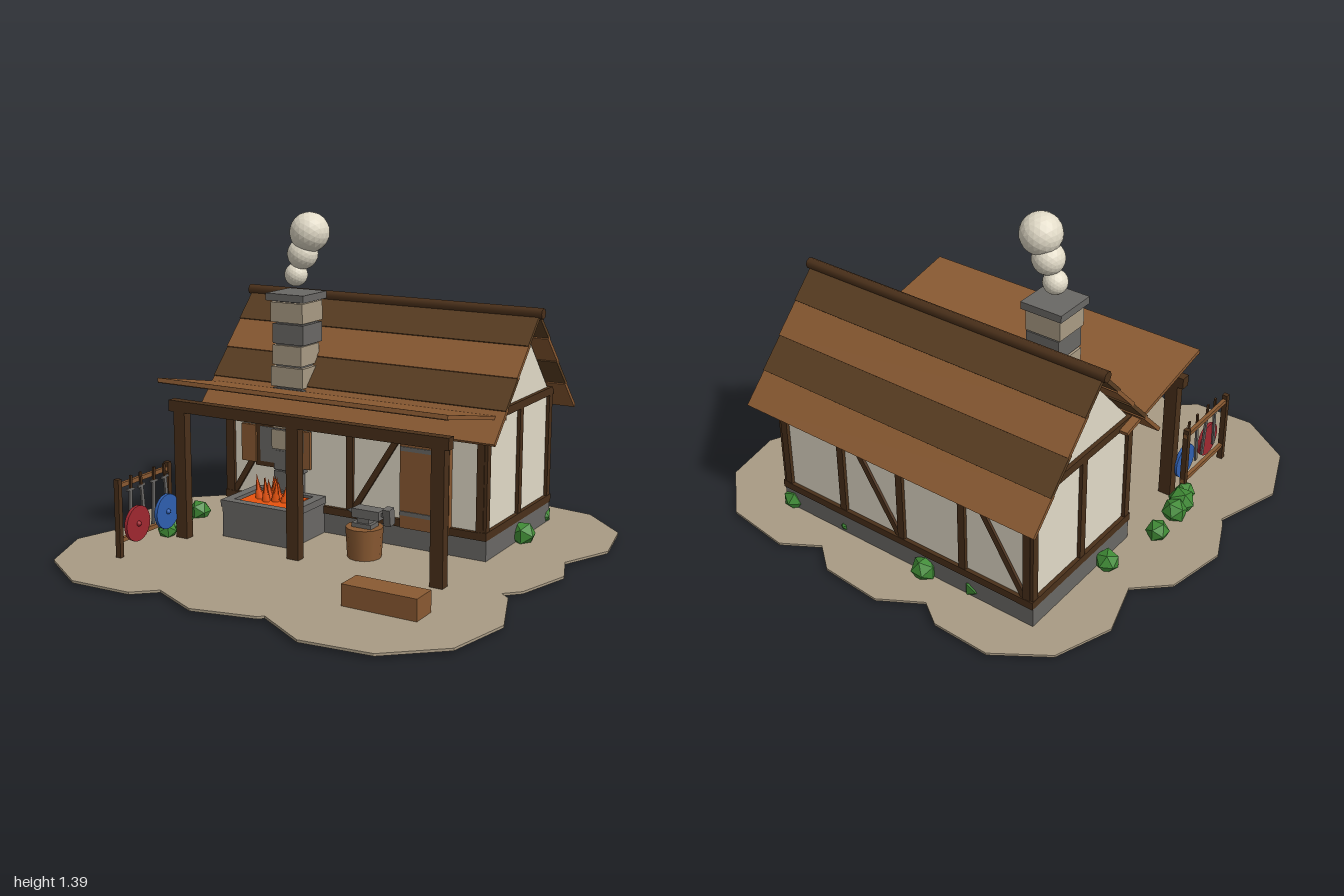
import * as THREE from 'three';

const mat = (name, color) => Object.assign(new THREE.MeshStandardMaterial({ color }), { name });
const M = {
  beam: mat('dark timber', 0x4a301a),
  plank: mat('dark plank', 0x5a3e22),
  wood: mat('light wood', 0x8a5a32),
  plaster: mat('plaster', 0xe2dbc8),
  iron: mat('dark stone', 0x6a6865),
  earth: mat('pale stone', 0xa99b84),
  fire: mat('fire', 0xf2570f),
  leaf: mat('leaf', 0x3f8a35),
  red: mat('red paint', 0xa02830),
  blue: mat('blue paint', 0x2f5fb0),
};

const CX = -0.012, G = 0.044;               // house centre in x, ground level
const HX = 0.62, ZF = -0.11, ZB = -0.745;   // half length, front and back walls
const ZM = -0.43;                           // ridge line

function createModel() {
  const root = new THREE.Group();
  root.name = 'smithy';

  const add = (name, geo, m, x = 0, y = 0, z = 0) => {
    const mesh = new THREE.Mesh(geo, m);
    mesh.name = name;
    mesh.position.set(x, y, z);
    root.add(mesh);
    return mesh;
  };
  // box from its min and max corners
  const box = (name, m, x0, x1, y0, y1, z0, z1) =>
    add(name, new THREE.BoxGeometry(x1 - x0, y1 - y0, z1 - z0), m, (x0 + x1) / 2, (y0 + y1) / 2, (z0 + z1) / 2);
  const flat = (geo) => {
    const g = geo.index ? geo.toNonIndexed() : geo;
    g.computeVertexNormals();
    return g;
  };

  // ground with scalloped outline (x, z)
  const outline = [
    -0.59, -0.97, -0.34, -0.96, -0.24, -0.89, -0.07, -0.99, 0.2, -0.97, 0.31, -0.88, 0.46, -0.97,
    0.75, -0.93, 0.95, -0.74, 1, -0.48, 0.9, -0.26, 0.96, -0.1, 0.89, 0.14, 0.83, 0.2, 0.87, 0.23,
    0.97, 0.49, 0.91, 0.77, 0.7, 0.95, 0.41, 0.98, 0.19, 0.85, 0.17, 0.87, -0.09, 0.93, -0.3, 0.83,
    -0.39, 0.91, -0.66, 0.92, -0.89, 0.77, -0.99, 0.51, -0.9, 0.23, -0.92, 0.2, -1, 0.02,
    -0.95, -0.24, -0.82, -0.36, -0.89, -0.59, -0.8, -0.83];
  const pts = [];
  for (let i = 0; i < outline.length; i += 2) pts.push(new THREE.Vector2(outline[i], -outline[i + 1]));
  const ground = new THREE.ExtrudeGeometry(new THREE.Shape(pts), { depth: 0.01, bevelEnabled: false });
  add('ground', ground.rotateX(-Math.PI / 2), M.earth, 0, G - 0.01, 0);

  // foundation and plaster body with gables
  box('foundation', M.iron, CX - 0.635, CX + 0.635, 0.036, 0.13, -0.755, -0.1);
  const gable = new THREE.Shape([[ZB, 0.13], [ZF, 0.13], [ZF, 0.63], [ZM, 0.985], [ZB, 0.63]]
    .map(([a, b]) => new THREE.Vector2(a, b)));
  const body = new THREE.ExtrudeGeometry(gable, { depth: HX * 2, bevelEnabled: false });
  add('walls', body.rotateY(-Math.PI / 2), M.plaster, CX + HX, 0, 0);

  // timber frame on the long walls, four bays with braces in alternate bays
  const bay = 0.303;
  for (const z of [ZF, ZB]) {
    const z0 = z - 0.015, z1 = z + 0.015;
    for (let i = 0; i < 5; i++) {
      const x = CX + (i - 2) * bay;
      box('wallPost', M.beam, x - 0.016, x + 0.016, 0.13, 0.63, z0, z1);
      if (i === 0 || i === 2) {
        const a = new THREE.Vector2(x + 0.015, 0.165), b = new THREE.Vector2(x + 0.288, 0.6);
        const brace = add('wallBrace', new THREE.BoxGeometry(a.distanceTo(b), 0.026, 0.022), M.beam,
          (a.x + b.x) / 2, (a.y + b.y) / 2, z);
        brace.rotation.z = Math.atan2(b.y - a.y, b.x - a.x);
      }
    }
    for (const y of [0.13, 0.615])
      box('wallRail', M.beam, CX - HX - 0.01, CX + HX + 0.01, y, y + 0.032, z0 - 0.002, z1 + 0.002);
  }
  // timber frame on the gable ends
  for (const s of [-1, 1]) {
    const x = CX + s * HX;
    for (const z of [ZF - 0.005, ZM, ZB + 0.005])
      box('gablePost', M.beam, x - 0.015, x + 0.015, 0.13, 0.63, z - 0.016, z + 0.016);
    for (const y of [0.13, 0.615])
      box('gableRail', M.beam, x - 0.017, x + 0.017, y, y + 0.034, ZB - 0.017, ZF + 0.017);
  }

  // roof: four overlapping boards per slope
  const run = 0.41, drop = 0.455, len = Math.hypot(run, drop), tilt = Math.atan2(drop, run);
  for (const s of [-1, 1]) {
    for (let i = 0; i < 4; i++) {
      const t = (i + 0.5) / 4;
      const board = add('roofBoard', new THREE.BoxGeometry(1.406, 0.016, len / 4 + 0.015), i % 2 ? M.wood : M.plank,
        CX, 1.012 - drop * t, ZM + s * run * t);
      board.rotation.x = s * (tilt - 0.035);
    }
  }
  add('roofRidge', new THREE.CylinderGeometry(0.023, 0.023, 1.435, 8).rotateZ(Math.PI / 2), M.beam, CX, 1.016, ZM);

  // porch
  const porchRoof = add('porchRoof', new THREE.BoxGeometry(1.338, 0.016, 0.54), M.wood, -0.015, 0.676, 0.063);
  porchRoof.rotation.x = -Math.atan2(0.11, 0.525);
  box('porchRoofEdge', M.beam, -0.684, 0.654, 0.718, 0.728, 0.318, 0.326);
  box('porchBeam', M.beam, -0.67, 0.635, 0.59, 0.638, 0.235, 0.277);
  for (const x of [-0.617, -0.06, 0.59]) box('porchPost', M.beam, x - 0.028, x + 0.028, 0.036, 0.6, 0.235, 0.277);

  // chimney of stacked stones, slightly uneven
  const SX = -0.31, SZ = -0.157;
  for (let i = 0; i < 9; i++) {
    const y0 = 0.2 + i * 0.0925, w = 0.072 + (i % 3) * 0.004, dx = ((i * 2) % 3 - 1) * 0.004;
    const light = [2, 3, 5, 6, 8].includes(i);
    box('chimneyStone', light ? M.earth : M.iron, SX + dx - w, SX + dx + w, y0 + 0.003, y0 + 0.088, SZ - w, SZ + w);
  }
  box('chimneyCore', M.iron, SX - 0.062, SX + 0.062, 0.2, 1.04, SZ - 0.062, SZ + 0.062);
  box('chimneyCap', M.iron, SX - 0.094, SX + 0.094, 1.035, 1.066, SZ - 0.094, SZ + 0.094);
  for (const [x, y, r] of [[-0.31, 1.14, 0.05], [-0.277, 1.23, 0.066], [-0.242, 1.323, 0.085]])
    add('smokePuff', flat(new THREE.IcosahedronGeometry(r, 3)), M.plaster, x, y, SZ);

  // forge with coals and flames
  box('forge', M.iron, -0.482, -0.137, 0.036, 0.19, -0.1, 0.165);
  for (const [x0, x1, z0, z1] of [[-0.488, -0.445, -0.1, 0.17], [-0.174, -0.131, -0.1, 0.17],
    [-0.445, -0.174, 0.13, 0.17], [-0.445, -0.174, -0.1, -0.07]])
    box('forgeRim', M.iron, x0, x1, 0.175, 0.205, z0, z1);
  box('coals', M.fire, -0.43, -0.19, 0.19, 0.199, -0.055, 0.115);
  for (let i = 0; i < 11; i++) {
    const a = i * 2.4, r = 0.025 * Math.sqrt(i), h = 0.11 - (i % 3) * 0.018;
    const flame = add('flame', new THREE.ConeGeometry(0.02, h, 5), M.fire,
      SX + r * Math.cos(a), 0.195 + h / 2, 0.025 + r * 0.75 * Math.sin(a));
    flame.rotation.z = -0.15 * Math.cos(a);
  }

  // window with open shutters
  box('windowFrame', M.beam, -0.48, -0.26, 0.3, 0.5, -0.1, -0.088);
  box('windowPane', M.iron, -0.455, -0.285, 0.322, 0.478, -0.089, -0.084);
  for (const x of [-0.55, -0.275]) box('shutter', M.wood, x, x + 0.075, 0.315, 0.48, -0.098, -0.08);

  // door
  box('door', M.wood, 0.235, 0.462, 0.13, 0.537, -0.11, -0.085);
  for (const y of [0.46, 0.185]) box('hinge', M.iron, 0.237, 0.46, y, y + 0.018, -0.086, -0.08);
  add('doorKnob', new THREE.SphereGeometry(0.012, 10, 8), M.beam, 0.425, 0.33, -0.078);

  // anvil on a stump
  add('stump', new THREE.CylinderGeometry(0.078, 0.07, 0.136, 12), M.wood, 0.168, 0.104, 0.088);
  box('anvilFoot', M.iron, 0.125, 0.215, 0.172, 0.19, 0.055, 0.12);
  box('anvilWaist', M.iron, 0.145, 0.2, 0.185, 0.215, 0.066, 0.11);
  box('anvilTop', M.iron, 0.125, 0.25, 0.212, 0.25, 0.056, 0.12);
  add('anvilHorn', new THREE.ConeGeometry(0.02, 0.05, 8).rotateZ(Math.PI / 2), M.iron, 0.108, 0.23, 0.088);
  const hammer = box('hammerHead', M.iron, 0.265, 0.297, 0.195, 0.265, 0.07, 0.11);
  hammer.rotation.x = 0.15;
  box('hammerHandle', M.iron, 0.2, 0.27, 0.225, 0.24, 0.083, 0.097);

  // bench
  box('bench', M.wood, 0.375, 0.69, 0.036, 0.13, 0.51, 0.622);

  // weapon rack
  for (const z of [0.607, 0.282]) box('rackPost', M.beam, -0.692, -0.668, 0.036, 0.372, z - 0.011, z + 0.011);
  for (const y of [0.335, 0.105]) box('rackRail', M.wood, -0.688, -0.672, y, y + 0.018, 0.27, 0.615);
  [0.55, 0.48, 0.4, 0.325].forEach((z, i) => {
    const sword = new THREE.Group();
    sword.name = 'sword';
    for (const [m, w, h, y] of [[M.beam, 0.012, 0.055, 0.035], [M.iron, 0.045, 0.01, 0.004], [M.iron, 0.016, 0.18, -0.09]]) {
      const part = new THREE.Mesh(new THREE.BoxGeometry(0.008, h, w), m);
      part.name = 'swordPart';
      part.position.y = y;
      sword.add(part);
    }
    sword.position.set(-0.662, 0.315, z);
    sword.rotation.x = i % 2 ? 0.1 : -0.06;
    root.add(sword);
  });
  for (const [m, z] of [[M.red, 0.53], [M.blue, 0.335]]) {
    add('shield', new THREE.CylinderGeometry(0.075, 0.075, 0.014, 20).rotateZ(Math.PI / 2), m, -0.648, 0.172, z);
    add('shieldBoss', new THREE.SphereGeometry(0.012, 8, 6), m, -0.641, 0.172, z);
  }

  // bushes (x, z, radius)
  const bushes = [[-0.74, -0.02, 0.05], [-0.73, 0.13, 0.055], [-0.72, 0.2, 0.06], [-0.695, 0.275, 0.045],
    [-0.68, -0.3, 0.052], [0.64, -0.43, 0.058], [-0.13, -0.765, 0.055], [-0.35, -0.72, 0.05],
    [0.3, -0.72, 0.045], [0.59, -0.74, 0.05]];
  bushes.forEach(([x, z, r], i) => {
    const bush = add('bush', flat(new THREE.IcosahedronGeometry(r, 0)), M.leaf, x, G + r * 0.5, z);
    bush.rotation.y = i * 1.3;
  });

  // settle the lowest point on y = 0
  root.updateMatrixWorld(true);
  const low = new THREE.Box3().setFromObject(root, true).min.y;
  for (const c of root.children) c.position.y -= low;
  return root;
}

export { createModel };
